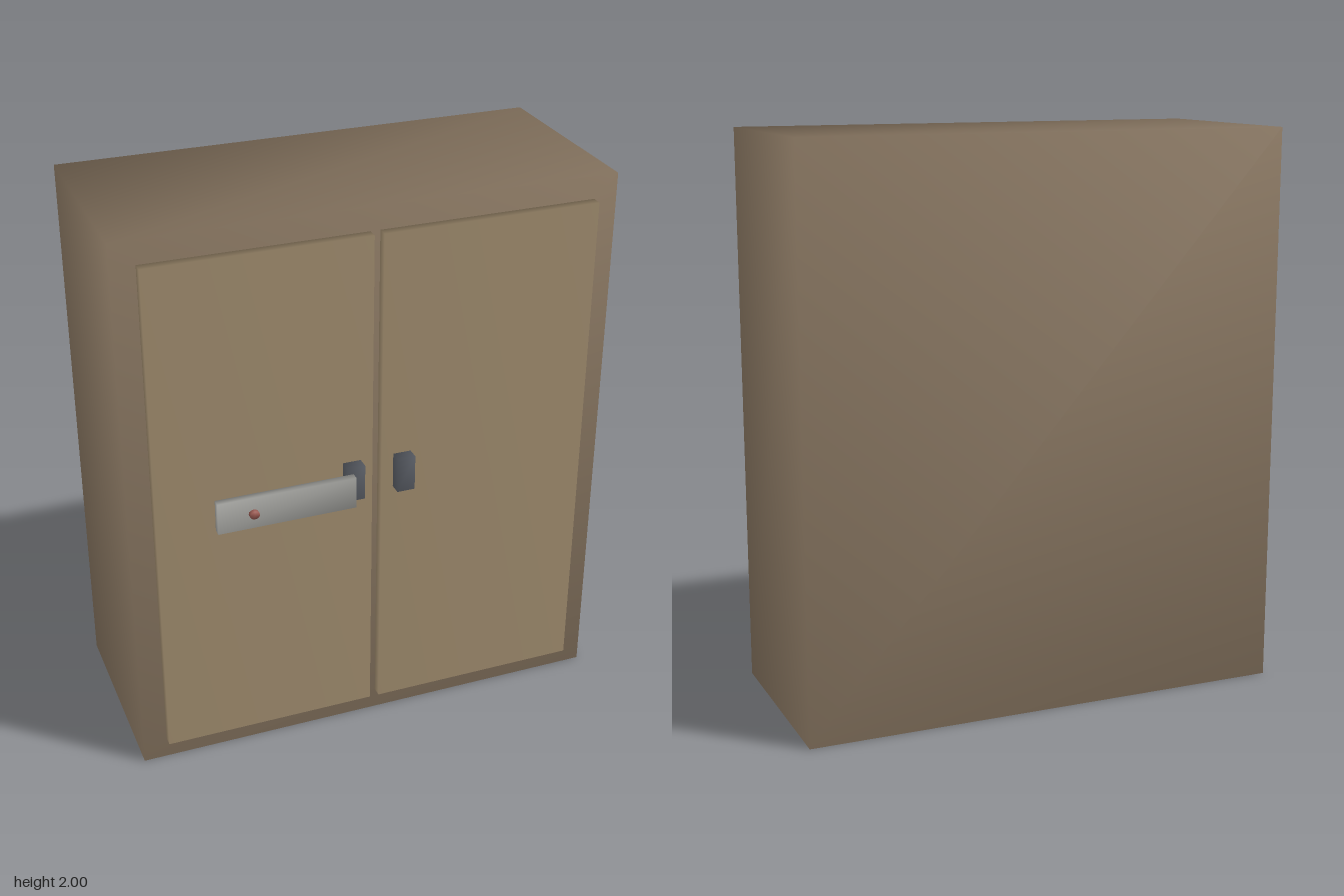
import * as THREE from 'three';
import { mergeVertices } from 'three/addons/utils/BufferGeometryUtils.js';

// Weld the corners so that the shading runs smoothly over the edges
function smooth(geometry) {
  geometry.deleteAttribute('normal');
  geometry.deleteAttribute('uv');
  const welded = mergeVertices(geometry, 1e-4);
  welded.computeVertexNormals();
  return welded;
}

const paint = (color) => new THREE.MeshStandardMaterial({ color });

export function createModel() {
  const model = new THREE.Group();
  model.name = 'cabinet';

  const bodyPaint = paint(0x8f7c66);
  const doorPaint = paint(0xa08c6e);
  const handlePaint = paint(0x5c6068);
  const platePaint = paint(0xa6a6a2);
  const rivetPaint = paint(0x9a5a52);

  // Box given by its lower and upper corners
  function box(name, [x0, y0, z0], [x1, y1, z1], material) {
    const mesh = new THREE.Mesh(smooth(new THREE.BoxGeometry(x1 - x0, y1 - y0, z1 - z0)), material);
    mesh.position.set((x0 + x1) / 2, (y0 + y1) / 2, (z0 + z1) / 2);
    mesh.name = name;
    model.add(mesh);
  }

  box('body', [-0.872, 0, -0.437], [0.872, 2, 0.305], bodyPaint);

  // Mirrored doors and handles
  for (const [side, s] of [['left', 1], ['right', -1]]) {
    const span = (a, b) => (s > 0 ? [a, b] : [-b, -a]);
    const [d0, d1] = span(0.017, 0.787);
    box(side + 'Door', [d0, 0.082, 0.308], [d1, 1.92, 0.345], doorPaint);
    const [h0, h1] = span(0.06, 0.124);
    box(side + 'Handle', [h0, 0.977, 0.343], [h1, 1.106, 0.388], handlePaint);
  }

  // Latch plate in front of the right door, with its rivet
  box('latchPlate', [-0.594, 0.97, 0.392], [-0.104, 1.085, 0.421], platePaint);
  const rivet = new THREE.Mesh(
    smooth(new THREE.CylinderGeometry(0.016, 0.016, 0.018, 12).rotateX(Math.PI / 2).scale(1.1, 0.9, 1)),
    rivetPaint
  );
  rivet.position.set(-0.47, 1.027, 0.428);
  rivet.name = 'rivet';
  model.add(rivet);

  return model;
}
